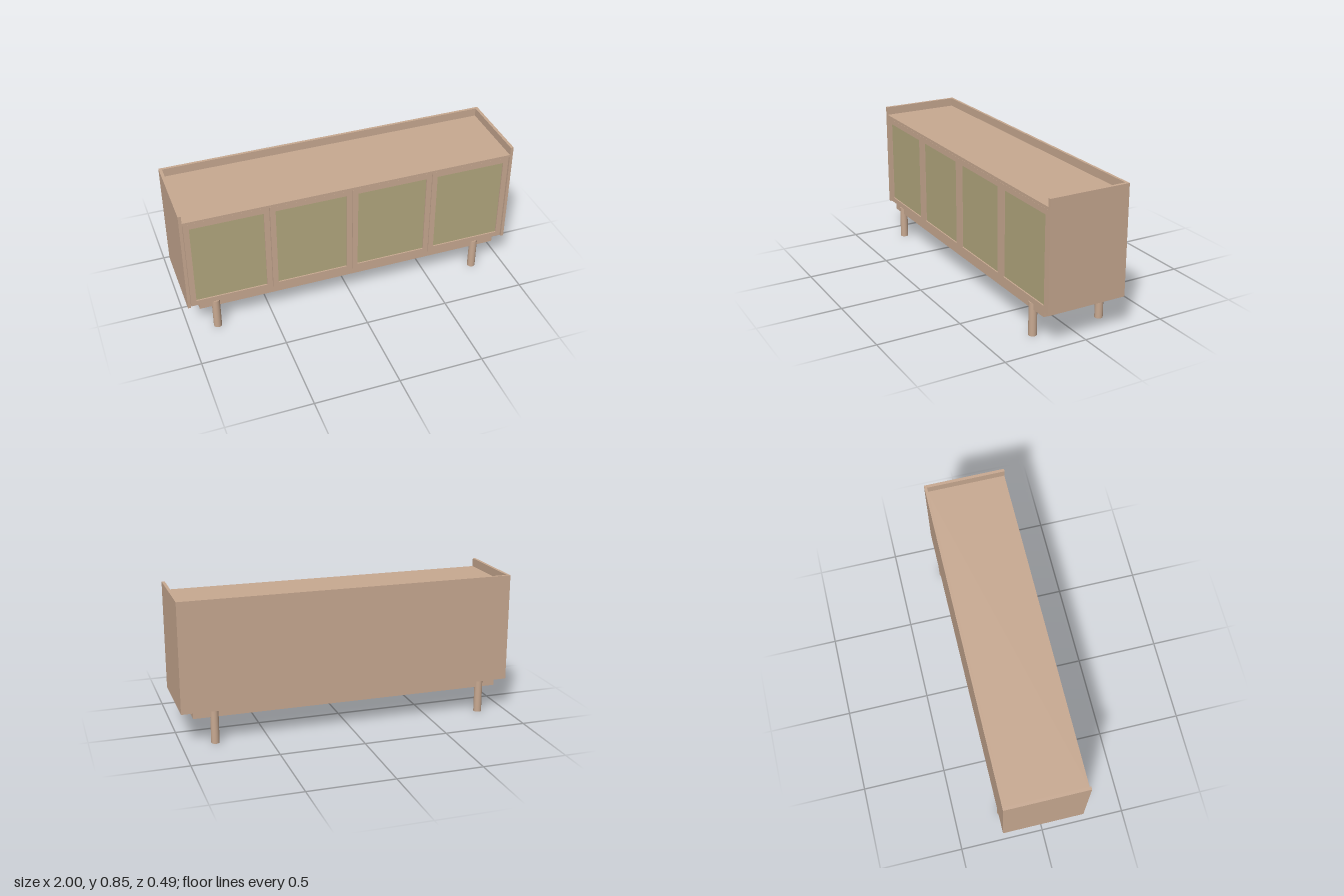
import * as THREE from 'three';

export function createModel() {
  const model = new THREE.Group();
  model.name = 'sideboard';
  const wood = new THREE.MeshStandardMaterial({ color: 0xc8a991 });
  wood.name = 'light wood';
  const olive = new THREE.MeshStandardMaterial({ color: 0xb2a77e });
  olive.name = 'olive panel';

  const add = (name, geometry, material, parent = model) => {
    const mesh = new THREE.Mesh(geometry, material);
    mesh.name = name;
    parent.add(mesh);
    return mesh;
  };
  // Box given by its minimum and maximum corners
  const box = (name, [x0, y0, z0], [x1, y1, z1], material = wood, parent = model) => {
    const mesh = add(name, new THREE.BoxGeometry(x1 - x0, y1 - y0, z1 - z0), material, parent);
    mesh.position.set((x0 + x1) / 2, (y0 + y1) / 2, (z0 + z1) / 2);
    return mesh;
  };

  // Cabinet case: the sides and back rise above the top as a low rim
  const inner = 0.982;
  box('rightSide', [-1, 0.2, -0.244], [-inner, 0.85, 0.244]);
  box('leftSide', [inner, 0.2, -0.244], [1, 0.85, 0.244]);
  box('back', [-inner, 0.2, -0.244], [inner, 0.85, -0.228]);
  box('top', [-inner, 0.784, -0.228], [inner, 0.8, 0.242]);
  box('bottom', [-inner, 0.2, -0.228], [inner, 0.216, 0.218]);

  // Inner dividers behind the door joints
  for (const x of [-0.49, 0, 0.49]) {
    box('divider', [x - 0.008, 0.216, -0.228], [x + 0.008, 0.784, 0.216]);
  }

  // Four framed doors with recessed panels
  const doorWidth = 0.486, doorBottom = 0.203, doorTop = 0.78, rail = 0.032;
  for (let i = 0; i < 4; i++) {
    const door = new THREE.Group();
    door.name = 'door' + (i + 1);
    const w = doorWidth / 2, h = (doorTop - doorBottom) / 2;
    const shape = new THREE.Shape();
    shape.moveTo(-w, -h).lineTo(w, -h).lineTo(w, h).lineTo(-w, h).closePath();
    const hole = new THREE.Path();
    hole.moveTo(-w + rail, -h + rail).lineTo(-w + rail, h - rail)
      .lineTo(w - rail, h - rail).lineTo(w - rail, -h + rail).closePath();
    shape.holes.push(hole);
    add('doorFrame', new THREE.ExtrudeGeometry(shape, { depth: 0.018, bevelEnabled: false }), wood, door);
    box('doorPanel', [-w + rail, -h + rail, 0.002], [w - rail, h - rail, 0.01], olive, door);
    door.position.set((i - 1.5) * 0.49, (doorBottom + doorTop) / 2, 0.219);
    model.add(door);
  }

  // Base frame under the case
  for (const s of [-1, 1]) {
    const longRail = box('baseLongRail', [-0.93, 0.16, -0.009], [0.93, 0.2, 0.009]);
    longRail.position.z = s * 0.217;
    const endRail = box('baseEndRail', [-0.009, 0.16, -0.208], [0.009, 0.2, 0.208]);
    endRail.position.x = s * 0.921;
  }

  // Round legs
  for (const x of [-0.832, 0.807]) {
    for (const z of [-0.217, 0.217]) {
      add('leg', new THREE.CylinderGeometry(0.024, 0.024, 0.2, 32), wood).position.set(x, 0.1, z);
    }
  }

  return model;
}
